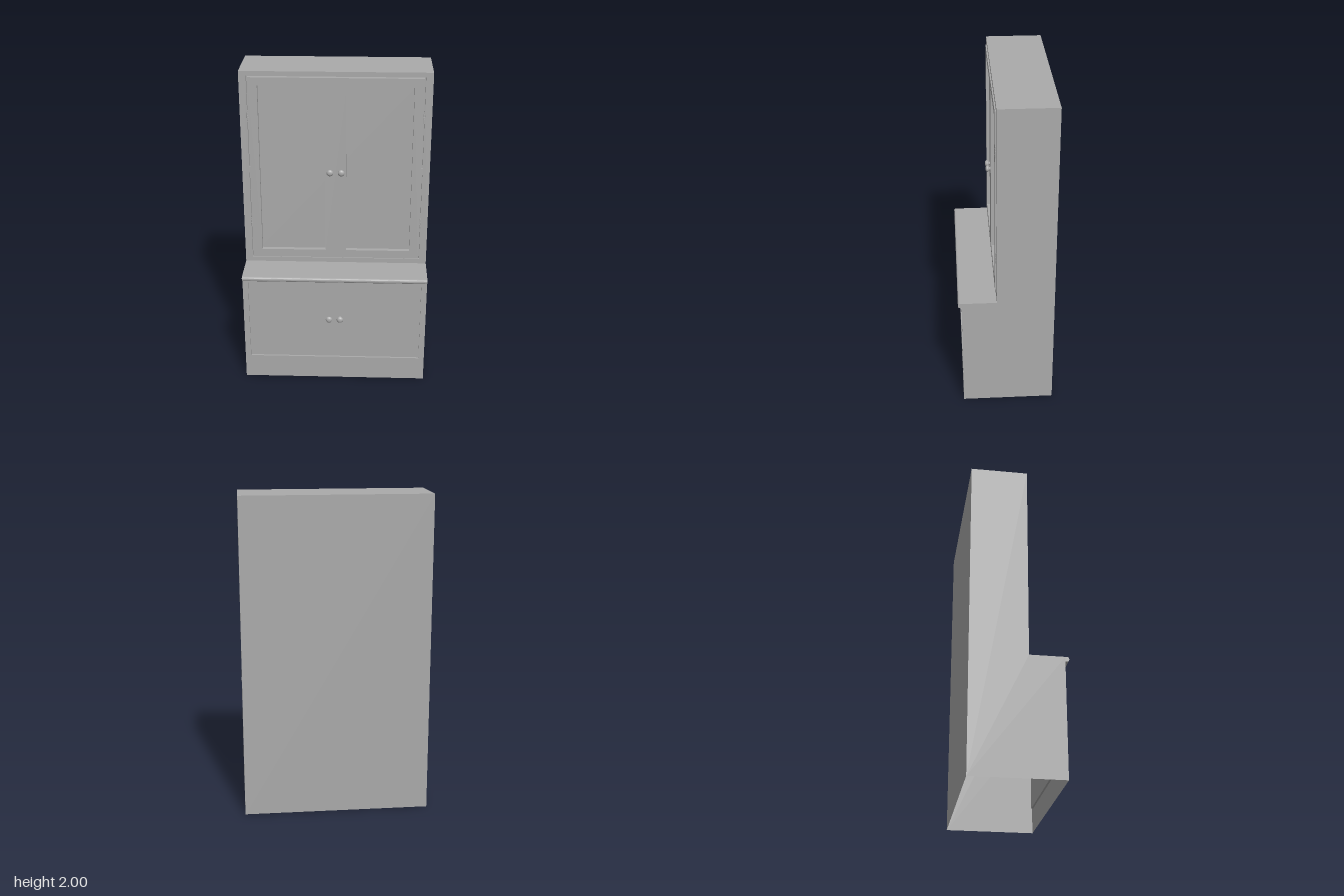
import * as THREE from 'three';

const W = 0.58, BACK = -0.292, UP_Z = 0.058, LOW_Z = 0.27, SHELF = 0.74, TOP = 2;

function rectPath(x0, x1, y0, y1, Type = THREE.Shape) {
  return new Type([[x0, y0], [x1, y0], [x1, y1], [x0, y1]].map(p => new THREE.Vector2(...p)));
}

export function createModel() {
  const group = new THREE.Group();
  const paint = new THREE.MeshStandardMaterial({ color: 0xaaaaaa, side: THREE.DoubleSide });
  paint.name = 'grey paint';

  function add(name, geo, x = 0, y = 0, z = 0) {
    const mesh = new THREE.Mesh(geo, paint);
    mesh.name = name;
    mesh.position.set(x, y, z);
    group.add(mesh);
    return mesh;
  }
  // Flat or extruded upright panel with rectangular openings, front face at z
  function panel(name, rect, holes, z, depth = 0) {
    const shape = rectPath(...rect);
    shape.holes = holes.map(h => rectPath(...h, THREE.Path));
    const geo = depth
      ? new THREE.ExtrudeGeometry(shape, { depth, bevelEnabled: false })
      : new THREE.ShapeGeometry(shape);
    return add(name, geo, 0, 0, z - depth);
  }
  // Open strips lining the edge of an opening, from z - depth to z
  function reveal(name, [x0, x1, y0, y1], z, depth) {
    const w = x1 - x0, h = y1 - y0, cx = (x0 + x1) / 2, cy = (y0 + y1) / 2;
    for (const s of [-1, 1]) {
      add(name, new THREE.PlaneGeometry(depth, h), cx + s * w / 2, cy, z - depth / 2).rotation.y = -s * Math.PI / 2;
      add(name, new THREE.PlaneGeometry(w, depth), cx, cy + s * h / 2, z - depth / 2).rotation.x = s * Math.PI / 2;
    }
  }

  // Carcass: stepped sides, back, top and worktop, open underneath
  const side = new THREE.Shape([
    [BACK, 0], [LOW_Z, 0], [LOW_Z, SHELF], [UP_Z, SHELF], [UP_Z, TOP], [BACK, TOP],
  ].map(p => new THREE.Vector2(...p)));
  for (const s of [-1, 1]) {
    const geo = new THREE.ShapeGeometry(side);
    if (s > 0) geo.scale(-1, 1, 1);
    // keep triangle winding outward after the mirror
    if (s > 0) geo.setIndex(Array.from(geo.index.array).reverse());
    add(s > 0 ? 'leftSide' : 'rightSide', geo, s * W).rotation.y = s * Math.PI / 2;
  }
  add('back', new THREE.PlaneGeometry(2 * W, TOP), 0, TOP / 2, BACK).rotation.y = Math.PI;
  add('top', new THREE.PlaneGeometry(2 * W, UP_Z - BACK), 0, TOP, (UP_Z + BACK) / 2).rotation.x = -Math.PI / 2;
  add('worktop', new THREE.PlaneGeometry(2 * W, LOW_Z - UP_Z), 0, SHELF, (LOW_Z + UP_Z) / 2).rotation.x = -Math.PI / 2;

  // Rounded nosing along the worktop's front edge
  const nose = new THREE.Shape();
  nose.moveTo(LOW_Z - 0.01, SHELF);
  nose.lineTo(0.278, SHELF);
  nose.quadraticCurveTo(0.293, SHELF, 0.293, 0.727);
  nose.quadraticCurveTo(0.293, 0.712, 0.28, 0.71);
  nose.lineTo(LOW_Z - 0.01, 0.71);
  const noseGeo = new THREE.ExtrudeGeometry(nose, { depth: 2 * W, bevelEnabled: false, curveSegments: 8 });
  add('worktopNosing', noseGeo, W, 0, 0).rotation.y = -Math.PI / 2;
  noseGeo.scale(-1, 1, 1);
  noseGeo.translate(0, 0, 0);
  // mirrored profile: flip the winding so that it faces outward
  const pos = noseGeo.attributes.position, nor = noseGeo.attributes.normal;
  for (let i = 0; i < pos.count; i += 3) {
    for (const a of [pos, nor]) {
      const b = [a.getX(i + 1), a.getY(i + 1), a.getZ(i + 1)];
      a.setXYZ(i + 1, a.getX(i + 2), a.getY(i + 2), a.getZ(i + 2));
      a.setXYZ(i + 2, ...b);
    }
  }
  const noseMesh = group.getObjectByName('worktopNosing');
  noseMesh.rotation.y = Math.PI / 2;
  noseMesh.position.x = -W;

  // Lower front with recessed drawer panel
  const drawer = [-0.545, 0.545, 0.155, 0.71];
  panel('lowerFrame', [-W, W, 0, SHELF], [drawer], LOW_Z);
  reveal('drawerReveal', drawer, LOW_Z, 0.012);
  panel('drawerFront', drawer, [], LOW_Z - 0.012);

  // Upper front with a fine groove around the door frame
  const opening = [-0.535, 0.535, 0.771, 1.971];
  panel('upperFrame', [-W, W, SHELF, TOP], [opening], UP_Z);
  reveal('doorReveal', opening, UP_Z, 0.022);
  const doorPanels = [[-0.47, -0.065, 0.83, 1.915], [0.065, 0.47, 0.83, 1.915]];
  panel('doorFrame', [-0.528, 0.528, 0.778, 1.964], doorPanels, 0.065, 0.03);
  panel('doorPanels', opening, [], UP_Z - 0.022);

  // Hinges: three-knuckle barrels, with a small catch in the groove between
  for (const s of [-1, 1]) {
    for (const y of [1.72, 1.025]) {
      for (const k of [-1, 0, 1]) {
        add('hingeKnuckle', new THREE.CylinderGeometry(0.006, 0.006, 0.015, 12), s * 0.532, y + k * 0.0165, 0.06);
      }
      add('hingePin', new THREE.CylinderGeometry(0.004, 0.004, 0.07, 10), s * 0.532, y, 0.058);
    }
    add('middleHinge', new THREE.BoxGeometry(0.007, 0.04, 0.012), s * 0.532, 1.372, 0.05);
  }

  // Turned knobs in pairs
  const profile = new THREE.SplineCurve([
    [0.012, 0], [0.009, 0.005], [0.014, 0.01], [0.02, 0.016], [0.02, 0.022], [0.012, 0.03], [0.0001, 0.032],
  ].map(p => new THREE.Vector2(...p))).getPoints(20);
  for (const [row, y, z] of [['doorKnob', 1.367, 0.065], ['drawerKnob', 0.438, LOW_Z - 0.012]]) {
    for (const s of [-1, 1]) {
      add(row, new THREE.LatheGeometry(profile, 24), s * 0.035, y, z).rotation.x = Math.PI / 2;
    }
  }
  return group;
}
